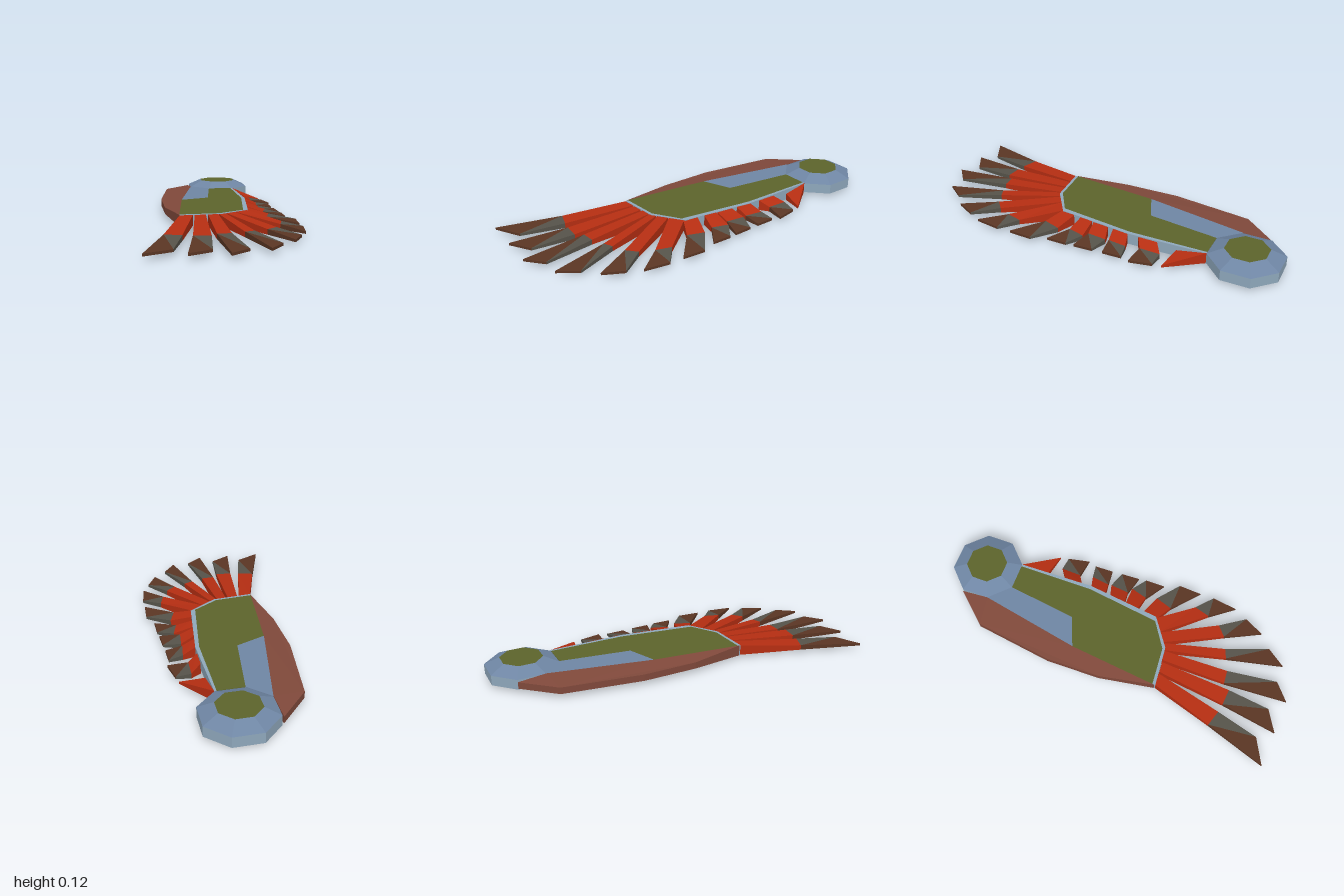
import * as THREE from 'three';

const mat = (name, color) => Object.assign(new THREE.MeshStandardMaterial({ color, flatShading: true }), { name });

// Closed slab from corners [x, z, top, bottom]
function slab(corners) {
  const flat = (list) => list.map((c) => new THREE.Vector2(c[0], c[1]));
  const pts = THREE.ShapeUtils.area(flat(corners)) > 0 ? [...corners].reverse() : corners;
  const pos = [];
  const top = (c) => [c[0], c[2], c[1]];
  const low = (c) => [c[0], c[3], c[1]];
  const tri = (a, b, c) => pos.push(...a, ...b, ...c);
  for (const face of THREE.ShapeUtils.triangulateShape(flat(pts), [])) {
    let [a, b, c] = face.map((i) => pts[i]);
    if (THREE.ShapeUtils.area(flat([a, b, c])) > 0) [b, c] = [c, b];
    tri(top(a), top(b), top(c));
    tri(low(a), low(c), low(b));
  }
  pts.forEach((p, i) => {
    const q = pts[(i + 1) % pts.length];
    tri(low(p), low(q), top(q));
    tri(low(p), top(q), top(p));
  });
  const g = new THREE.BufferGeometry();
  g.setAttribute('position', new THREE.Float32BufferAttribute(pos, 3));
  g.computeVertexNormals();
  return g;
}

export function createModel() {
  const model = new THREE.Group();
  model.name = 'wing';
  const steel = mat('steelBlue', 0x6f86a4);
  const pale = mat('paleBlue', 0x8fa8bc);
  const olive = mat('olive', 0x5d642c);
  const maroon = mat('maroon', 0x80493b);
  const red = mat('red', 0xb62e12);
  const grey = mat('darkGrey', 0x56534a);
  const brown = mat('darkBrown', 0x5b3624);

  const add = (parent, name, geometry, material) => {
    const m = new THREE.Mesh(geometry, material);
    m.name = name;
    parent.add(m);
    return m;
  };

  // Eight-sided shoulder hub with olive caps
  const hub = new THREE.Group();
  hub.name = 'shoulderHub';
  hub.position.set(0.545, 0, -0.785);
  model.add(hub);
  const ring = (name, rTop, rLow, y0, y1, m) => {
    add(hub, name, new THREE.CylinderGeometry(rTop, rLow, y1 - y0, 8, 1, true), m).position.y = (y0 + y1) / 2;
  };
  ring('hubLowerBevel', 0.215, 0.125, 0, 0.02, steel);
  ring('hubRim', 0.215, 0.215, 0.02, 0.08, pale);
  ring('hubUpperBevel', 0.125, 0.215, 0.08, 0.12, steel);
  for (const s of [1, -1]) {
    const cap = add(hub, s > 0 ? 'hubTopCap' : 'hubBottomCap', new THREE.CircleGeometry(0.125, 8), olive);
    cap.rotation.x = -s * Math.PI / 2;
    cap.position.y = s > 0 ? 0.12 : 0;
  }

  // Wing plate
  const T = 0.083, B = 0.016;
  const level = (list) => list.map(([x, z]) => [x, z, T, B]);
  add(model, 'leadingEdge', slab([
    [0.385, -0.94, 0.07, 0.03], [0.16, -0.83, 0.07, 0.03], [-0.08, -0.42, 0.07, 0.03],
    [-0.2, -0.115, 0.07, 0.03], [-0.27, 0.215, T, B], [-0.01, -0.265, T, B], [0.33, -0.785, T, B],
  ]), maroon);
  add(model, 'shoulderPanel', slab(level([
    [0.33, -0.785], [-0.01, -0.265], [0.18, -0.265], [0.393, -0.633],
  ])), steel);
  const inner = [[-0.265, 0.205], [-0.045, 0.277], [0.135, 0.243], [0.363, -0.15], [0.535, -0.575]];
  const outer = [[-0.272, 0.222], [-0.04, 0.295], [0.163, 0.25], [0.383, -0.14], [0.547, -0.57]];
  add(model, 'mainPanel', slab(level([
    [0.393, -0.633], [0.18, -0.265], [-0.01, -0.265], ...inner,
  ])), olive);
  add(model, 'trailingTrim', slab(level([...inner, ...[...outer].reverse()])), pale);

  // Feathers: root pair, middle pair and tip pair, each as x, z
  const feathers = [
    [-0.27, 0.22, -0.2, 0.245, -0.515, 0.52, -0.44, 0.585, -0.765, 0.81, -0.595, 0.795],
    [-0.19, 0.25, -0.13, 0.27, -0.395, 0.615, -0.31, 0.66, -0.575, 0.905, -0.43, 0.885],
    [-0.115, 0.27, -0.06, 0.29, -0.265, 0.635, -0.19, 0.66, -0.39, 0.995, -0.265, 0.955],
    [-0.055, 0.29, -0.01, 0.29, -0.11, 0.66, -0.05, 0.66, -0.168, 1, -0.055, 0.93],
    [-0.003, 0.285, 0.06, 0.27, 0.03, 0.66, 0.105, 0.635, 0.045, 0.895, 0.145, 0.81],
    [0.065, 0.27, 0.155, 0.25, 0.17, 0.575, 0.23, 0.5, 0.215, 0.75, 0.293, 0.62],
    [0.15, 0.25, 0.205, 0.18, 0.23, 0.345, 0.3, 0.265, 0.325, 0.54, 0.385, 0.415],
    [0.225, 0.14, 0.265, 0.07, 0.305, 0.195, 0.37, 0.115, 0.385, 0.315, 0.43, 0.205],
    [0.265, 0.06, 0.315, -0.025, 0.345, 0.085, 0.4, -0.015, 0.442, 0.16, 0.48, 0.055],
    [0.335, -0.055, 0.38, -0.14, 0.405, -0.035, 0.46, -0.13, 0.5, -0.005, 0.54, -0.11],
    [0.41, -0.2, 0.455, -0.305, 0.475, -0.21, 0.525, -0.32, 0.575, -0.15, 0.6, -0.28],
  ];
  feathers.forEach((f, i) => {
    const feather = new THREE.Group();
    feather.name = `feather${i + 1}`;
    model.add(feather);
    const at = (k, top, low) => [f[2 * k], f[2 * k + 1], top, low];
    const [r0, r1] = [0, 1].map((k) => at(k, T - 0.002, 0.018));
    const [m0, m1] = [2, 3].map((k) => at(k, 0.05, 0.02));
    const [t0, t1] = [4, 5].map((k) => at(k, 0.036, 0.022));
    add(feather, 'featherShaft', slab([r0, r1, m1, m0]), red);
    add(feather, 'featherBand', slab([m0, m1, t1]), grey);
    add(feather, 'featherTip', slab([m0, t1, t0]), brown);
  });

  // Short plain feather next to the hub
  add(model, 'innerFeather', slab([
    [0.547, -0.57, T, 0.018], [0.61, -0.33, 0.036, 0.022], [0.495, -0.41, 0.06, 0.02],
  ]), red);
  return model;
}
